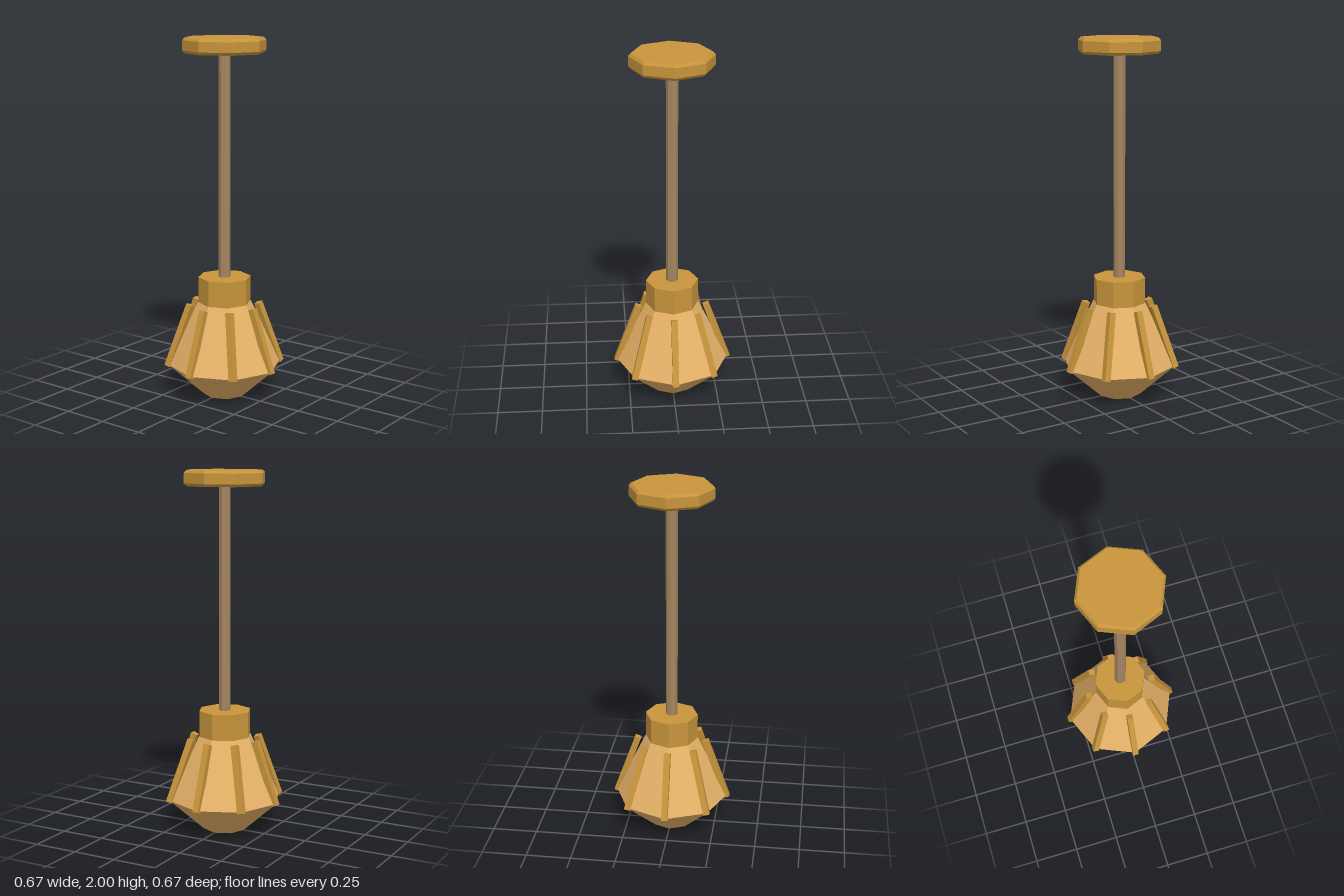
import * as THREE from 'three';

const SIDES = 8;

function material(color) {
  return new THREE.MeshStandardMaterial({ color, flatShading: true });
}

// Octagonal solid of revolution from [radius, height] pairs, bottom to top
function turned(name, profile, mat) {
  const points = profile.map(([r, y]) => new THREE.Vector2(r, y));
  const mesh = new THREE.Mesh(new THREE.LatheGeometry(points, SIDES), mat);
  mesh.name = name;
  return mesh;
}

export function createModel() {
  const group = new THREE.Group();
  group.name = 'pendantLamp';

  const brass = material(0xc8953c);
  const rodMetal = material(0xa58560);
  const glass = material(0xe6b268);

  // Ceiling plate with bevelled rims
  group.add(turned('ceilingPlate', [
    [0, 1.915], [0.215, 1.915], [0.228, 1.93], [0.228, 1.985], [0.215, 2], [0, 2],
  ], brass));

  // Hanging rod
  group.add(turned('rod', [[0, 0.66], [0.033, 0.66], [0.033, 1.93], [0, 1.93]], rodMetal));

  // Collar holding the shade
  group.add(turned('collar', [[0, 0.53], [0.147, 0.53], [0.147, 0.68], [0, 0.68]], brass));

  // Faceted shade, closed at the bottom
  group.add(turned('shade', [[0, 0], [0.12, 0], [0.32, 0.18], [0.15, 0.535], [0, 0.535]], glass));

  // Ribs leaning inward along the corners of the shade
  const ribs = new THREE.Group();
  ribs.name = 'ribs';
  const up = new THREE.Vector3(0, 1, 0);
  const ribGeometry = new THREE.BoxGeometry(0.035, 0.372, 0.035);
  for (let i = 0; i < SIDES; i++) {
    const a = (i / SIDES) * Math.PI * 2;
    const bottom = new THREE.Vector3(Math.sin(a) * 0.318, 0.172, Math.cos(a) * 0.318);
    const top = new THREE.Vector3(Math.sin(a) * 0.192, 0.522, Math.cos(a) * 0.192);
    const rib = new THREE.Mesh(ribGeometry, brass);
    rib.name = 'rib';
    rib.position.copy(bottom).lerp(top, 0.5);
    rib.quaternion.setFromUnitVectors(up, top.sub(bottom).normalize());
    ribs.add(rib);
  }
  group.add(ribs);

  return group;
}
